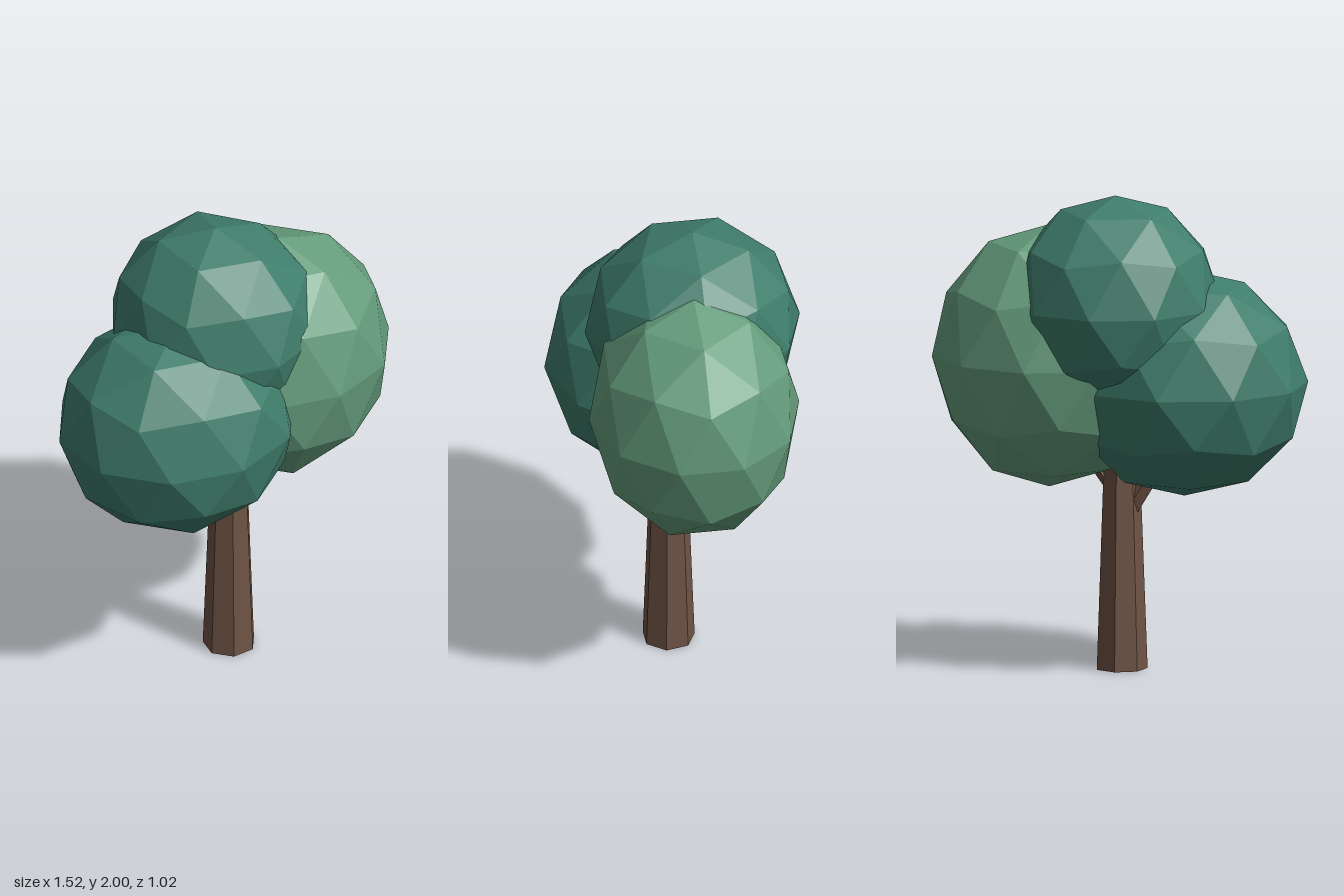
import * as THREE from 'three';

const material = (color) => new THREE.MeshStandardMaterial({ color, flatShading: true });

// Faceted ball with a vertex at its top and bottom poles
function foliage(name, mat, center, radii) {
  const geometry = new THREE.IcosahedronGeometry(1, 1);
  geometry.rotateX(-Math.atan((1 + Math.sqrt(5)) / 2)); // vertex to the pole
  geometry.rotateY(Math.PI / 2); // upper ring points to +x
  geometry.scale(...radii);
  geometry.computeVertexNormals();
  const mesh = new THREE.Mesh(geometry, mat);
  mesh.name = name;
  mesh.position.set(...center);
  return mesh;
}

// Tapered prism running between two points
function limb(name, mat, from, to, rBottom, rTop, sides) {
  const a = new THREE.Vector3(...from);
  const b = new THREE.Vector3(...to);
  const direction = b.clone().sub(a);
  const geometry = new THREE.CylinderGeometry(rTop, rBottom, direction.length(), sides);
  geometry.rotateY(Math.PI); // flat side to the front
  const mesh = new THREE.Mesh(geometry, mat);
  mesh.name = name;
  mesh.position.copy(a).add(b).multiplyScalar(0.5);
  mesh.quaternion.setFromUnitVectors(new THREE.Vector3(0, 1, 0), direction.normalize());
  return mesh;
}

export function createModel() {
  const tree = new THREE.Group();
  tree.name = 'tree';
  const bark = material(0x6f5345);
  const darkLeaves = material(0x3f7d6b);
  const lightLeaves = material(0x659d7c);

  // Trunk and the two branches that fork into the crown
  tree.add(
    limb('trunk', bark, [0, 0, 0.035], [0, 1.2, 0.035], 0.11, 0.066, 7),
    limb('rightBranch', bark, [-0.02, 0.65, 0.03], [-0.26, 1.02, 0.03], 0.045, 0.03, 5),
    limb('leftBranch', bark, [0.03, 0.77, 0.02], [0.24, 1.06, -0.02], 0.035, 0.025, 5),
  );

  // Crown
  tree.add(
    foliage('rightFoliage', darkLeaves, [-0.27, 1.21, 0.035], [0.515, 0.475, 0.475]),
    foliage('leftFoliage', lightLeaves, [0.29, 1.31, -0.025], [0.49, 0.55, 0.44]),
    foliage('topFoliage', darkLeaves, [0, 1.55, -0.065], [0.44, 0.45, 0.45]),
  );
  return tree;
}
